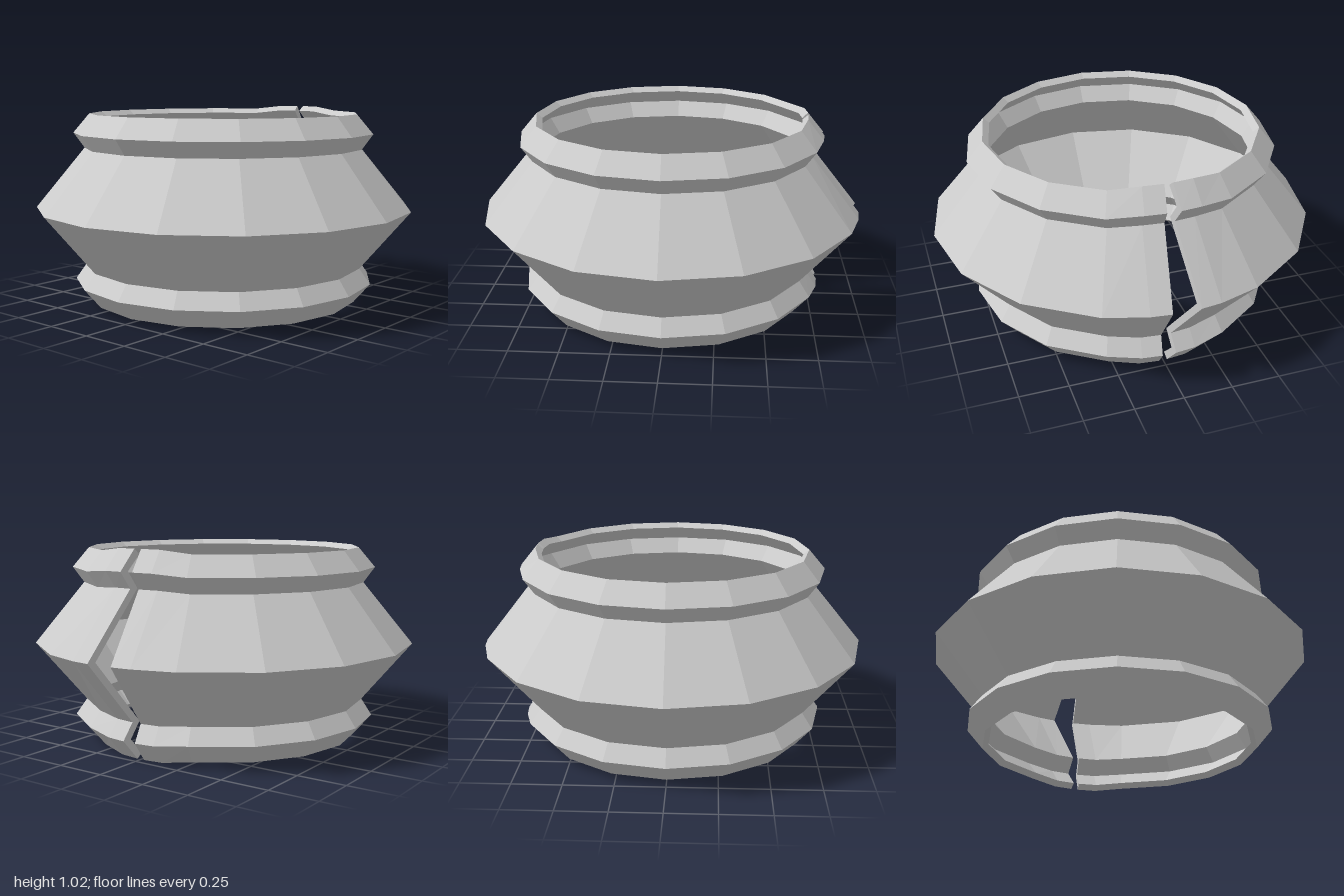
import * as THREE from 'three';

// Zigzag wall section as [radius, height], bottom to top
const OUTER = [[0.71, 0.02], [0.795, 0.12], [0.738, 0.2], [0.995, 0.508], [0.738, 0.82], [0.795, 0.9], [0.71, 1.0]];
const INNER = [[0.68, 0.046], [0.75, 0.12], [0.695, 0.2], [0.95, 0.508], [0.695, 0.82], [0.75, 0.9], [0.68, 0.974]];
const N = OUTER.length;
const MID = 0.51;
const SECTION = [...OUTER, ...INNER.slice().reverse()];

// One cross-section of the wall at an angle from the front, flared in height
function column(angle, flare) {
  return SECTION.map(([r, y]) =>
    new THREE.Vector3(r * Math.sin(angle), MID + (y - MID) * flare, r * Math.cos(angle)));
}

// Cut end at the back: the gap widens towards the outside
function endColumn(side, flare) {
  return SECTION.map(([r, y]) => {
    const x = 0.015 + 0.055 * (r - 0.68) / 0.315;
    return new THREE.Vector3(side * x, MID + (y - MID) * flare, -Math.sqrt(r * r - x * x));
  });
}

function splitRingGeometry() {
  const deg = Math.PI / 180;
  const columns = [endColumn(-1, 1.038), column(-170 * deg, 1.036)];
  for (let k = -7; k <= 7; k++) columns.push(column(k * 22.5 * deg, 1));
  columns.push(column(170 * deg, 1.036), endColumn(1, 1.038));

  const positions = [];
  const quad = (a, b, c, d) => {
    for (const p of [a, b, c, a, c, d]) positions.push(p.x, p.y, p.z);
  };

  // Outer wall, rims and inner wall
  const m = SECTION.length;
  for (let c = 0; c < columns.length - 1; c++) {
    const p = columns[c], q = columns[c + 1];
    for (let i = 0; i < m; i++) {
      const j = (i + 1) % m;
      quad(p[i], q[i], q[j], p[j]);
    }
  }

  // Flat faces of the two cut ends
  const first = columns[0], last = columns[columns.length - 1];
  for (let i = 0; i < N - 1; i++) {
    const a = m - 1 - i, b = m - 2 - i;
    quad(first[a], first[i], first[i + 1], first[b]);
    quad(last[i], last[a], last[b], last[i + 1]);
  }

  const geometry = new THREE.BufferGeometry();
  geometry.setAttribute('position', new THREE.Float32BufferAttribute(positions, 3));
  geometry.computeVertexNormals();
  return geometry;
}

export function createModel() {
  const group = new THREE.Group();
  group.name = 'splitBellowsRing';
  const material = new THREE.MeshStandardMaterial({ color: 0xcccccc, flatShading: true });
  const ring = new THREE.Mesh(splitRingGeometry(), material);
  ring.name = 'ringWall';
  group.add(ring);
  return group;
}
